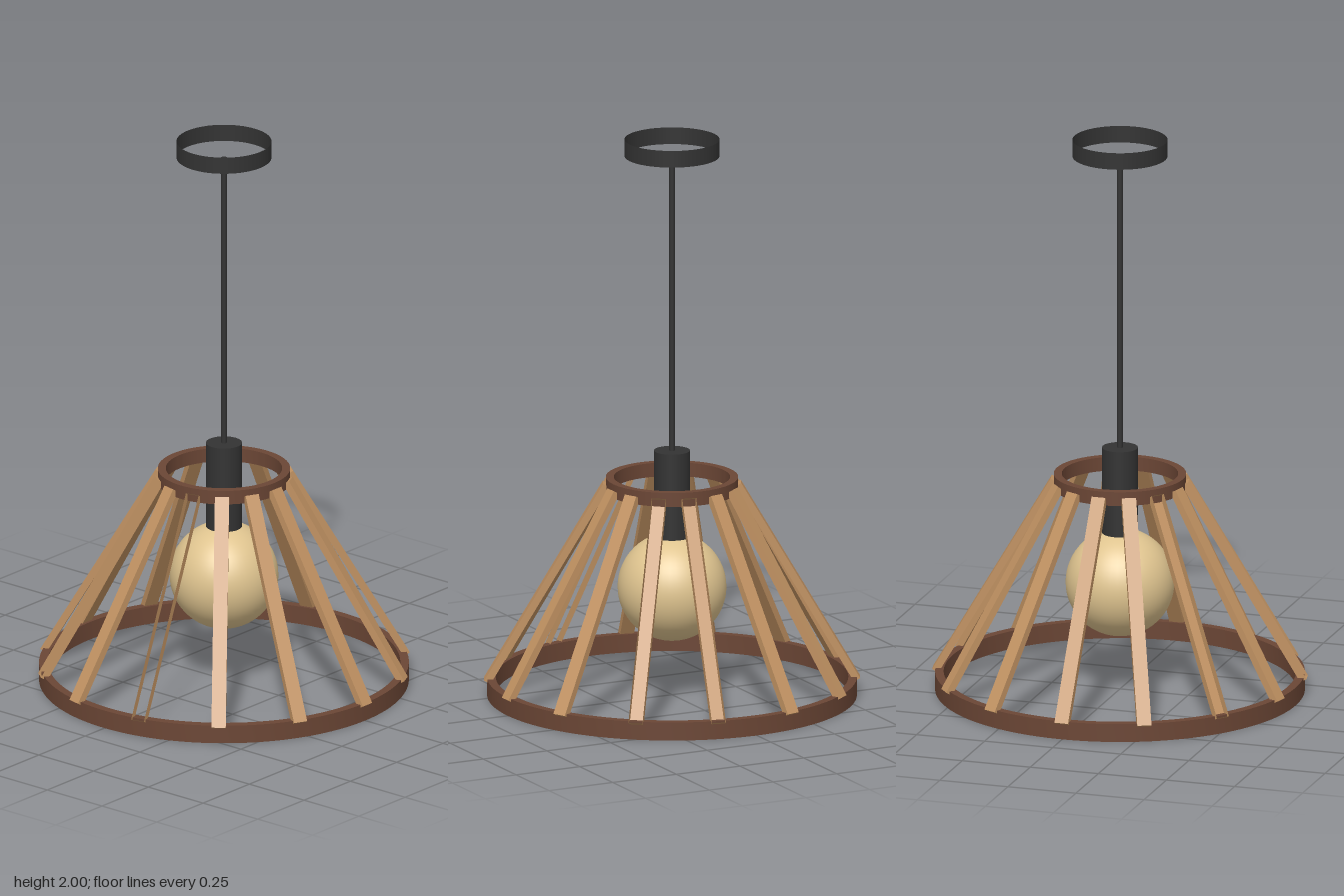
import * as THREE from 'three';
import { toCreasedNormals } from 'three/addons/utils/BufferGeometryUtils.js';

const flat = (name, color, side = THREE.FrontSide) => {
  const m = new THREE.MeshStandardMaterial({ color, side });
  m.name = name;
  return m;
};

export function createModel() {
  const lamp = new THREE.Group();
  lamp.name = 'pendantLamp';
  const darkMetal = flat('darkMetal', 0x333333, THREE.DoubleSide);
  const darkWood = flat('darkWood', 0x6b4635);
  const lightWood = flat('lightWood', 0xc19262, THREE.DoubleSide);
  const warmGlass = flat('warmGlass', 0xdfc48f);

  const add = (name, geometry, material, y = 0, parent = lamp) => {
    const mesh = new THREE.Mesh(geometry, material);
    mesh.name = name;
    mesh.position.y = y;
    parent.add(mesh);
    return mesh;
  };

  // Flat band with a rectangular section, lying level with its base at y = 0
  const band = (outer, inner, height) => {
    const shape = new THREE.Shape().absarc(0, 0, outer, 0, Math.PI * 2);
    shape.holes.push(new THREE.Path().absarc(0, 0, inner, 0, Math.PI * 2, true));
    const g = new THREE.ExtrudeGeometry(shape, { depth: height, bevelEnabled: false, curveSegments: 64 });
    return toCreasedNormals(g.rotateX(-Math.PI / 2), 0.6);
  };

  // Ceiling band, cord, socket and bulb
  add('canopy', new THREE.CylinderGeometry(0.166, 0.166, 0.06, 48, 1, true), darkMetal, 1.97);
  add('cord', new THREE.CylinderGeometry(0.01, 0.01, 1.06, 16), darkMetal, 1.41);
  add('socket', new THREE.CylinderGeometry(0.063, 0.063, 0.31, 32), darkMetal, 0.725);
  add('bulb', new THREE.SphereGeometry(0.19, 48, 32), warmGlass, 0.39);

  // Shade rings
  add('upperRing', band(0.231, 0.203, 0.05), darkWood, 0.735);
  add('lowerRing', band(0.645, 0.615, 0.065), darkWood, 0);

  // Leaning slats; a few are open on their broad faces (4 = outer, 5 = inner)
  const openFaces = { 3: [4, 5], 5: [4], 11: [4], 12: [4] };
  const bottom = [0.645, 0.055], top = [0.23, 0.76];
  const run = bottom[0] - top[0], rise = top[1] - bottom[1];
  for (let i = 0; i < 14; i++) {
    const g = new THREE.BoxGeometry(0.05, Math.hypot(run, rise), 0.025);
    const open = openFaces[i] || [];
    g.setIndex(Array.from(g.index.array).filter((_, k) => !open.includes(Math.floor(k / 6))));
    g.clearGroups();
    const arm = new THREE.Group();
    arm.name = 'slatArm';
    arm.rotation.y = Math.PI / 2 - (i / 14) * Math.PI * 2;
    const slat = add('slat', g, lightWood, (bottom[1] + top[1]) / 2, arm);
    slat.position.z = (bottom[0] + top[0]) / 2;
    slat.rotation.x = -Math.atan2(run, rise);
    lamp.add(arm);
  }
  return lamp;
}
